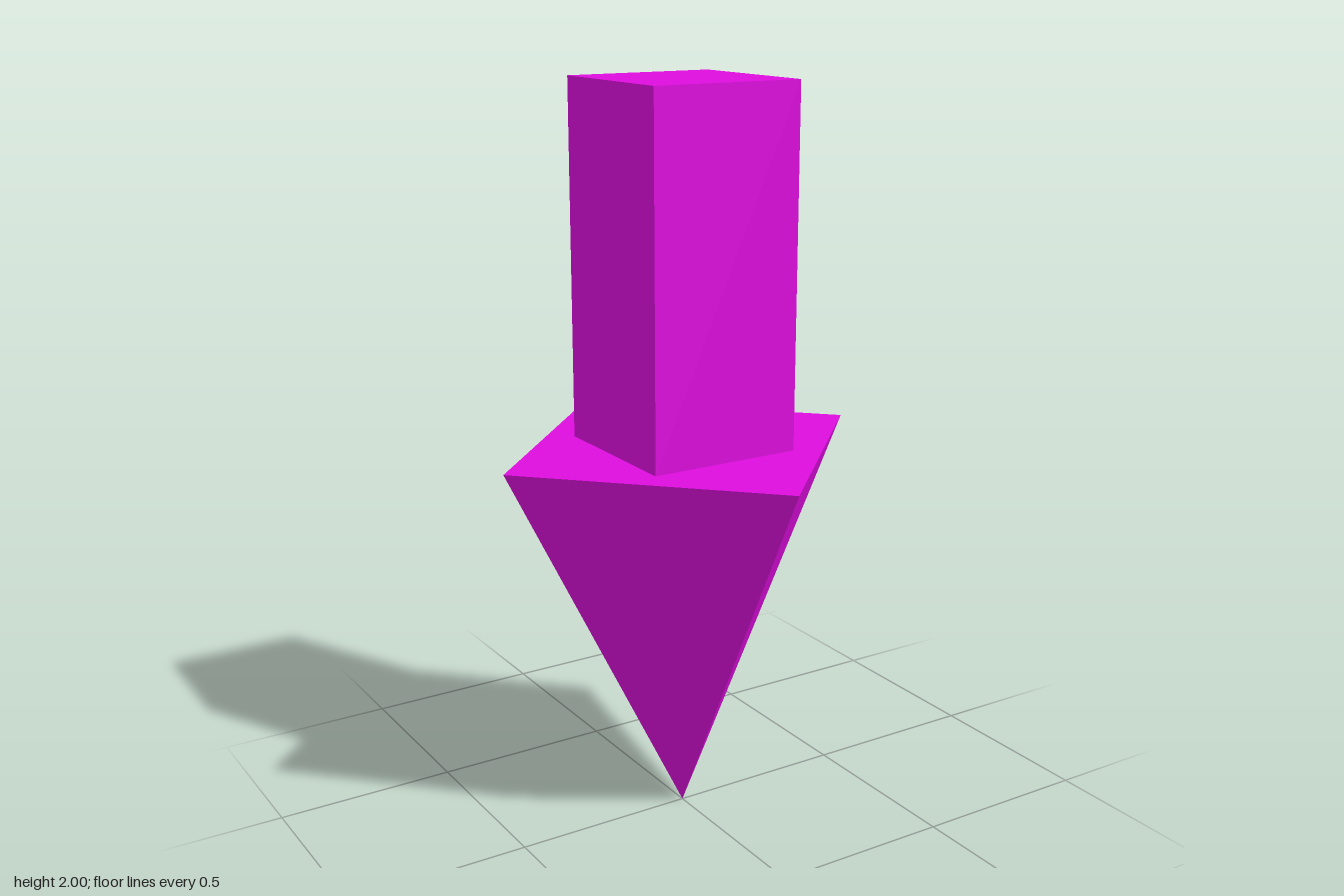
import * as THREE from 'three';

const HEAD_HEIGHT = 1.053;
const HEAD_RADIUS = 0.526;
const SHAFT_WIDTH = 0.421;
const TOTAL_HEIGHT = 2;

export function createModel() {
  const group = new THREE.Group();
  group.name = 'downArrow';
  const material = new THREE.MeshStandardMaterial({ color: 0xdd0ddd, flatShading: true });

  const addPart = (name, geometry, y) => {
    const mesh = new THREE.Mesh(geometry, material);
    mesh.name = name;
    mesh.position.y = y;
    group.add(mesh);
  };

  // Four-sided pyramid pointing down, corners on the x and z axes
  const head = new THREE.ConeGeometry(HEAD_RADIUS, HEAD_HEIGHT, 4);
  head.rotateX(Math.PI);
  addPart('arrowHead', head, HEAD_HEIGHT / 2);

  // Square shaft standing on the flat top of the head
  const shaftHeight = TOTAL_HEIGHT - HEAD_HEIGHT;
  const shaft = new THREE.BoxGeometry(SHAFT_WIDTH, shaftHeight, SHAFT_WIDTH);
  addPart('arrowShaft', shaft, HEAD_HEIGHT + shaftHeight / 2);

  return group;
}
